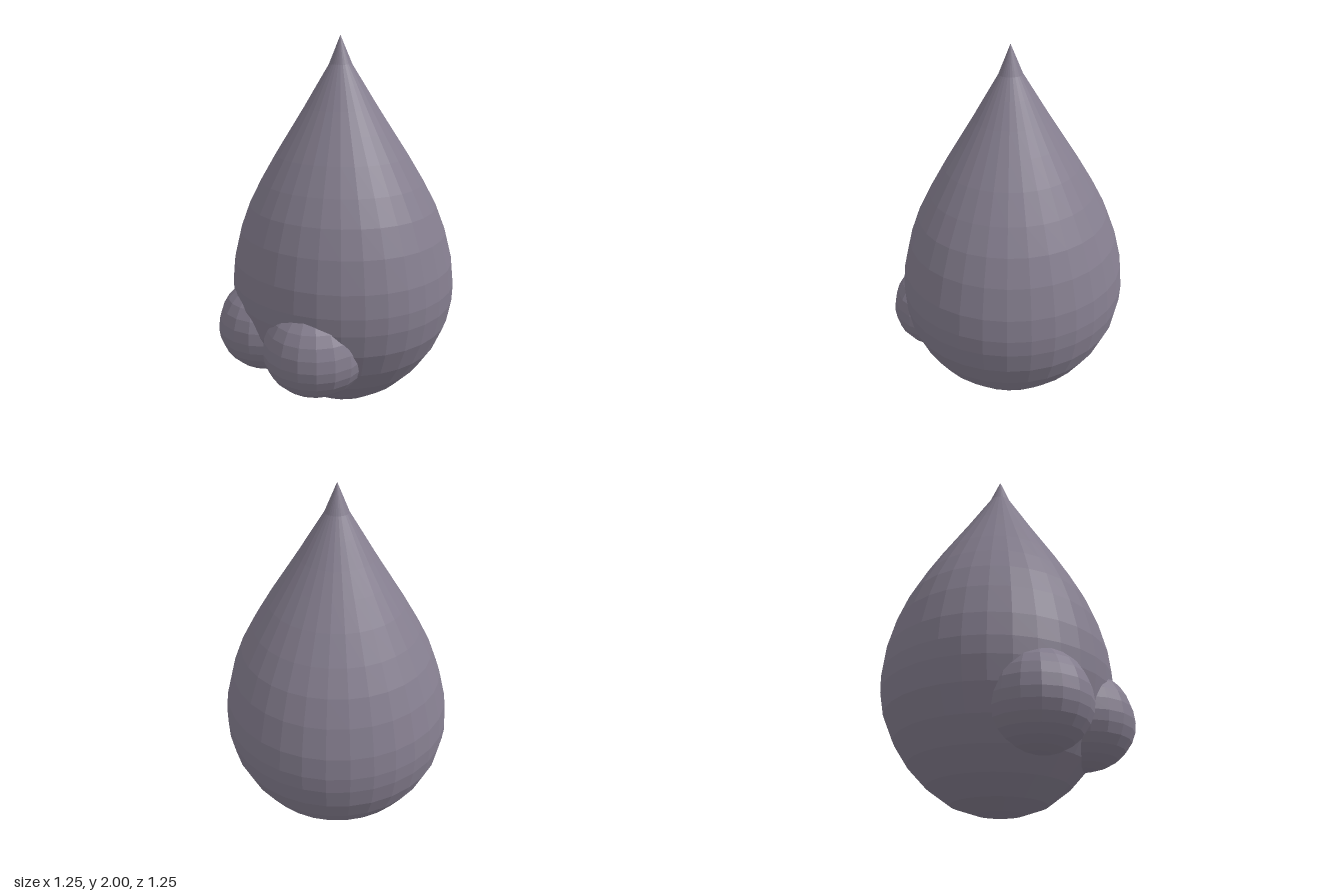
import * as THREE from 'three';

export function createModel() {
  const group = new THREE.Group();
  const skin = new THREE.MeshStandardMaterial({ color: 0x857e8f, flatShading: true });
  skin.name = 'dusty mauve';

  // Teardrop body: radius and height from the base to the pointed tip
  const profile = [
    [0, 0], [0.12, 0.012], [0.25, 0.055], [0.37, 0.14], [0.47, 0.245], [0.545, 0.36],
    [0.6, 0.49], [0.622, 0.61], [0.625, 0.7], [0.612, 0.82], [0.57, 0.98], [0.515, 1.12],
    [0.445, 1.25], [0.36, 1.39], [0.275, 1.52], [0.2, 1.635], [0.125, 1.755],
    [0.062, 1.855], [0.03, 1.93], [0, 2],
  ].map(([r, y]) => new THREE.Vector2(r, y));
  const bodyShape = new THREE.LatheGeometry(profile, 32);
  const p = bodyShape.attributes.position;
  // The front is slightly flatter than the back
  for (let i = 0; i < p.count; i++) {
    if (p.getZ(i) > 0) p.setZ(i, p.getZ(i) * 0.925);
  }
  bodyShape.computeVertexNormals();
  const body = new THREE.Mesh(bodyShape, skin);
  body.name = 'teardropBody';
  group.add(body);

  // Two rounded lobes low on the front, drawn out upward into the body
  for (const side of [-1, 1]) {
    const lobeShape = new THREE.SphereGeometry(1, 18, 14);
    const q = lobeShape.attributes.position;
    for (let i = 0; i < q.count; i++) {
      const y = q.getY(i);
      q.setXYZ(i, q.getX(i) * 0.275, y * (y > 0 ? 0.28 : 0.235), q.getZ(i) * 0.265);
    }
    lobeShape.computeVertexNormals();
    const lobe = new THREE.Mesh(lobeShape, skin);
    lobe.name = side > 0 ? 'leftLobe' : 'rightLobe';
    lobe.position.set(side * 0.2, 0.445, 0.367);
    group.add(lobe);
  }
  return group;
}
